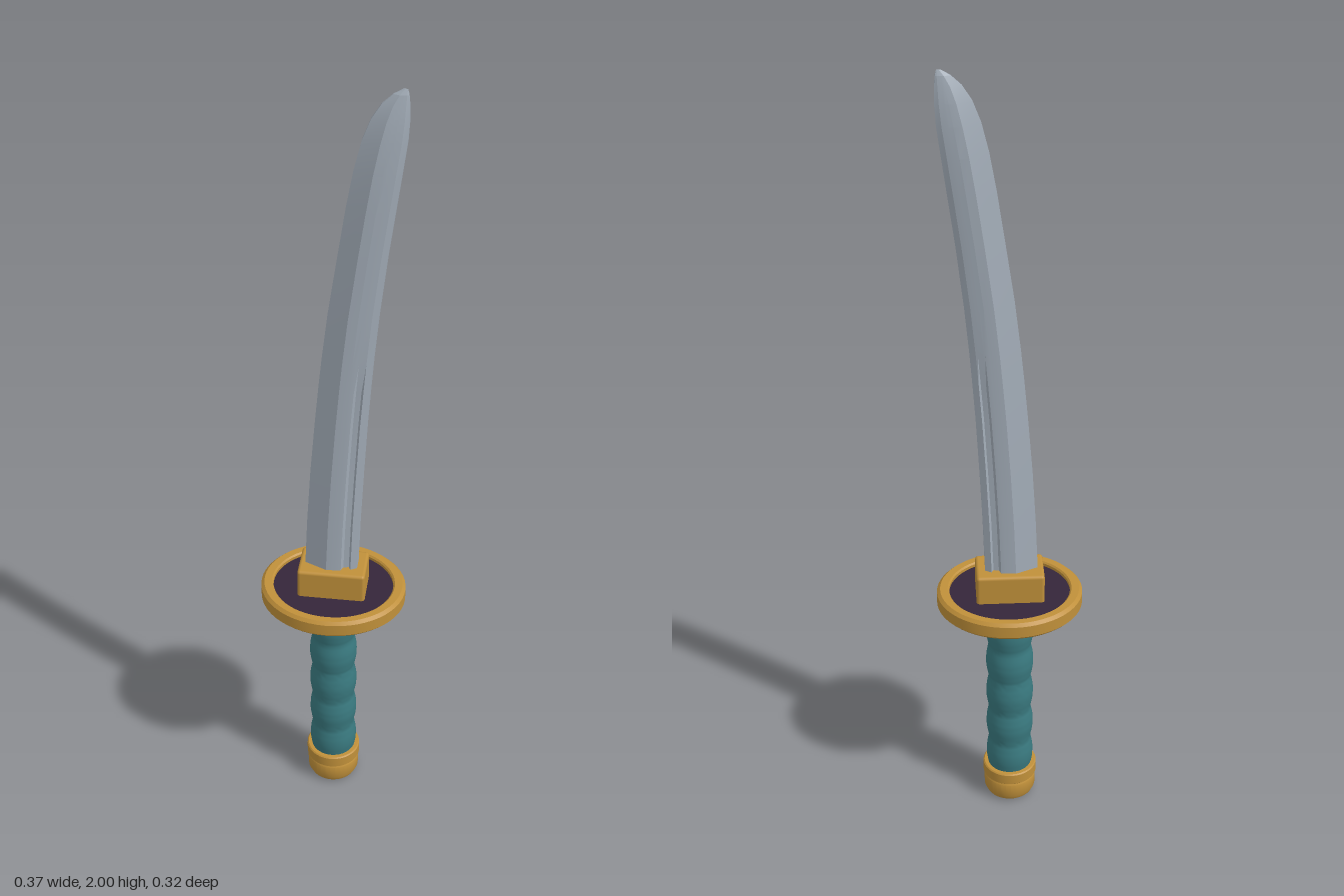
import * as THREE from 'three';
import { toCreasedNormals } from 'three/addons/utils/BufferGeometryUtils.js';
import { RoundedBoxGeometry } from 'three/addons/geometries/RoundedBoxGeometry.js';

const material = (name, color) => {
  const m = new THREE.MeshStandardMaterial({ color });
  m.name = name;
  return m;
};

// Turned part from [radius, y] points, listed from bottom to top along the outside
function turned(points, segments, crease = 0.5) {
  const profile = points.map(([r, y]) => new THREE.Vector2(r, y));
  return toCreasedNormals(new THREE.LatheGeometry(profile, segments), crease);
}

// Curved blade: rows of [y, edge x, spine x, half thickness]
function bladeGeometry() {
  const rows = [
    [0.66, -0.072, 0.06, 0.035], [0.85, -0.064, 0.066, 0.035],
    [1.0, -0.055, 0.073, 0.035], [1.15, -0.043, 0.081, 0.035],
    [1.25, -0.034, 0.088, 0.035], [1.33, -0.026, 0.094, 0.035],
    [1.45, -0.012, 0.105, 0.035], [1.6, 0.01, 0.122, 0.034],
    [1.72, 0.028, 0.138, 0.033], [1.81, 0.044, 0.15, 0.031],
    [1.88, 0.061, 0.159, 0.026], [1.93, 0.08, 0.162, 0.02],
    [1.965, 0.102, 0.161, 0.013], [1.988, 0.126, 0.159, 0.007],
    [2.0, 0.146, 0.156, 0.001],
  ];
  // Half section: [position from edge to spine, relative thickness, groove depth]
  const half = [
    [0, 0.28, 0], [0.42, 1, 0], [0.62, 0.96, 0], [0.7, 0.9, 0],
    [0.74, 0.87, 0.011], [0.84, 0.79, 0.011], [0.88, 0.75, 0], [1, 0.5, 0],
  ];
  const section = [
    ...half.map((p) => [...p, 1]),
    ...half.slice().reverse().map((p) => [...p, -1]),
  ];
  const n = section.length;
  const position = [];
  const index = [];
  rows.forEach(([y, edge, spine, thick], r) => {
    const groove = THREE.MathUtils.clamp((1.33 - y) / 0.15, 0, 1);
    for (const [u, t, depth, side] of section) {
      position.push(edge + (spine - edge) * u, y, side * (thick * t - depth * groove));
    }
    if (r === rows.length - 1) return;
    for (let i = 0; i < n; i++) {
      const j = (i + 1) % n;
      const a = r * n + i, b = r * n + j;
      index.push(a, b, b + n, a, b + n, a + n);
    }
  });
  // Close the tip
  const top = (rows.length - 1) * n;
  for (let i = 1; i < n - 1; i++) index.push(top, top + i, top + i + 1);
  const g = new THREE.BufferGeometry();
  g.setAttribute('position', new THREE.Float32BufferAttribute(position, 3));
  g.setIndex(index);
  return toCreasedNormals(g, 0.16);
}

export function createModel() {
  const steel = material('steel', 0xa3adb8);
  const gold = material('gold', 0xc0903a);
  const teal = material('teal grip', 0x3a7a80);
  const plum = material('dark plum', 0x35263a);

  const model = new THREE.Group();
  model.name = 'sword';
  const add = (name, geometry, mat, parent = model) => {
    const mesh = new THREE.Mesh(geometry, mat);
    mesh.name = name;
    parent.add(mesh);
    return mesh;
  };

  add('blade', bladeGeometry(), steel);
  add('bladeCollar', new RoundedBoxGeometry(0.17, 0.09, 0.106, 2, 0.008), gold).position.y = 0.675;

  // Oval guard: raised rim around a recessed dark plate
  const guard = new THREE.Group();
  guard.name = 'guard';
  guard.scale.z = 0.88;
  model.add(guard);
  add('guardRim', turned([
    [0.152, 0.63], [0.152, 0.612], [0.156, 0.608], [0.175, 0.608], [0.183, 0.616],
    [0.183, 0.647], [0.175, 0.655], [0.156, 0.655], [0.152, 0.651], [0.152, 0.63],
  ], 56), gold, guard);
  add('guardPlate', turned([[0, 0.619], [0.154, 0.619], [0.154, 0.643], [0, 0.643]], 56), plum, guard);

  add('gripCollar', turned([[0, 0.6], [0.064, 0.6], [0.068, 0.604], [0.068, 0.622], [0, 0.622]], 32), gold);

  // Grip with evenly spaced swells
  const swells = 5, steps = 50, bottom = 0.08, height = 0.5;
  const grip = [];
  for (let i = 0; i <= steps; i++) {
    const t = i / steps;
    grip.push([0.054 + 0.007 * Math.abs(Math.sin(t * swells * Math.PI)), bottom + t * height]);
  }
  grip.push([0.06, 0.583], [0.06, 0.601], [0, 0.601]);
  add('grip', turned(grip, 32, 0.9), teal);

  // Pommel cap with a rounded foot and a thin band line
  add('pommel', turned([
    [0, 0], [0.052, 0], [0.061, 0.005], [0.067, 0.018], [0.068, 0.056], [0.066, 0.06],
    [0.07, 0.064], [0.07, 0.092], [0.067, 0.095], [0, 0.095],
  ], 32), gold);

  return model;
}
